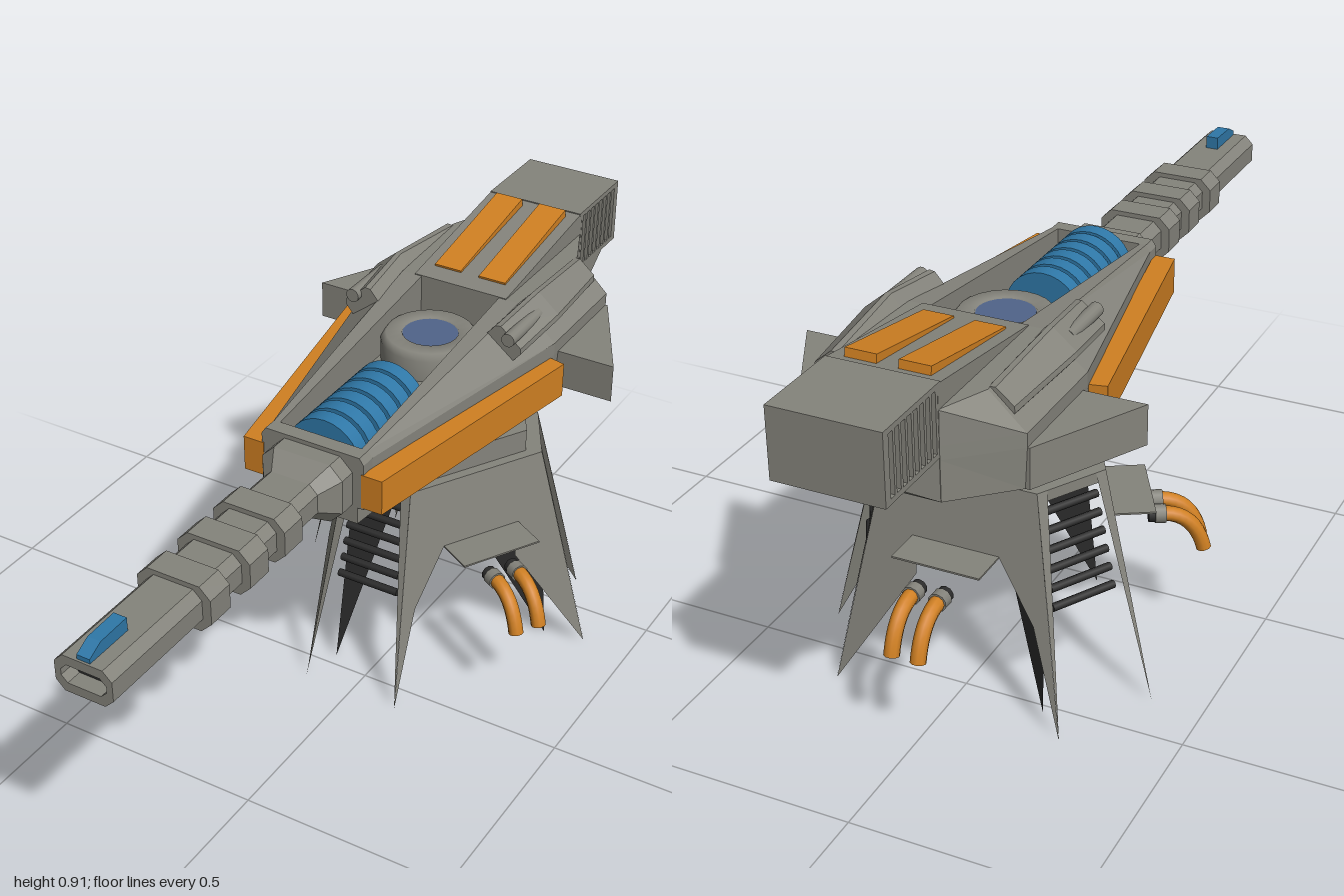
import * as THREE from 'three';

const mat = (name, color, side = THREE.FrontSide) => {
  const m = new THREE.MeshStandardMaterial({ color, side });
  m.name = name;
  return m;
};

export function createModel() {
  const root = new THREE.Group();
  const grey = mat('grey armour', 0x85847c, THREE.DoubleSide);
  const orange = mat('orange paint', 0xd08022);
  const blue = mat('blue coil', 0x2f78a8);
  const glass = mat('glass', 0x50648a);
  const dark = mat('dark metal', 0x2b2b2b, THREE.DoubleSide);

  const add = (name, geo, m, parent = root) => {
    const mesh = new THREE.Mesh(geo, m);
    mesh.name = name;
    parent.add(mesh);
    return mesh;
  };
  const box = (name, w, h, d, x, y, z, m, parent = root) => {
    const b = add(name, new THREE.BoxGeometry(w, h, d), m, parent);
    b.position.set(x, y, z);
    return b;
  };
  const faces = (tris) => {
    const g = new THREE.BufferGeometry();
    g.setAttribute('position', new THREE.Float32BufferAttribute(tris.flat(), 3));
    g.computeVertexNormals();
    return g;
  };
  const v2 = (pts) => pts.map(([a, b]) => new THREE.Vector2(a, b));
  // Flat-sided loft through rings of [x, y] points, from low z to high z
  const loft = (sections) => {
    const t = [];
    const n = sections[0].pts.length;
    const at = (s, k) => [...s.pts[k % n], s.z];
    for (let i = 0; i + 1 < sections.length; i++) {
      const a = sections[i], b = sections[i + 1];
      for (let k = 0; k < n; k++) {
        t.push(at(a, k), at(a, k + 1), at(b, k + 1), at(a, k), at(b, k + 1), at(b, k));
      }
    }
    const first = sections[0], last = sections[sections.length - 1];
    for (const [a, b, c] of THREE.ShapeUtils.triangulateShape(v2(first.pts), []))
      t.push(at(first, a), at(first, c), at(first, b));
    for (const [a, b, c] of THREE.ShapeUtils.triangulateShape(v2(last.pts), []))
      t.push(at(last, a), at(last, b), at(last, c));
    return faces(t);
  };
  const sym = (z, half) => ({ z, pts: [...half, ...half.map(([x, y]) => [-x, y]).reverse()] });
  // Vertical prism from an [x, z] outline
  const prism = (pts, y0, y1) => {
    const shape = new THREE.Shape(v2(pts.map(([x, z]) => [x, -z])));
    const g = new THREE.ExtrudeGeometry(shape, { depth: y1 - y0, bevelEnabled: false });
    return g.rotateX(-Math.PI / 2).translate(0, y0, 0);
  };

  // ---- Tripod base: three ladders alternating with three wide panels ----
  const base = new THREE.Group();
  base.name = 'base';
  base.position.z = -0.305;
  root.add(base);
  const turn = (t, r, a) => [t * Math.cos(a) + r * Math.sin(a), -t * Math.sin(a) + r * Math.cos(a)];
  const third = Math.PI * 2 / 3;
  const hex = (hw, r) => [0, 1, 2].flatMap((k) => [turn(-hw, r, k * third), turn(hw, r, k * third)]);
  add('collar', prism(hex(0.08, 0.213), 0.525, 0.58), grey, base);
  add('skirtTop', prism(hex(0.085, 0.25), 0.5, 0.525), grey, base);

  const panelPoint = (s, y) => {
    const f = 1 - y / 0.525, hw = 0.085 + 0.035 * f, r = 0.25 + 0.125 * f;
    const a = turn(hw, r, 0), b = turn(-hw, r, third);
    return [a[0] + (b[0] - a[0]) * s, y, a[1] + (b[1] - a[1]) * s];
  };
  // One leg of each panel is slender and the other broad; the rear panel is mirrored
  const outline = [[0, 0.525], [0, 0.005], [0.08, 0.24], [0.25, 0.37], [0.73, 0.37], [0.7, 0.29], [1, 0.005], [1, 0.525]];
  const panelTris = (flip) => THREE.ShapeUtils.triangulateShape(v2(outline), [])
    .flatMap((tri) => (flip ? tri.reverse() : tri)
      .map((i) => panelPoint(flip ? 1 - outline[i][0] : outline[i][0], outline[i][1])));

  for (let k = 0; k < 3; k++) {
    const leg = new THREE.Group();
    leg.name = 'legSection';
    leg.rotation.y = k * third;
    base.add(leg);
    add('widePanel', faces(panelTris(k === 1)), grey, leg);
    for (const s of [-1, 1])
      add('ladderRail', faces([[s * 0.085, 0.525, 0.25], [s * 0.06, 0.525, 0.25], [s * 0.12, 0.005, 0.375]]), grey, leg);
    add('innerFin', faces([[-0.062, 0.5, 0.25], [-0.05, 0.42, 0.03], [-0.095, 0.01, 0.28]]), dark, leg);
    for (let i = 0; i < 6; i++) {
      const y = 0.472 - i * 0.04;
      const rung = add('ladderRung', new THREE.CylinderGeometry(0.009, 0.009, 0.135 + i * 0.004, 8), dark, leg);
      rung.rotation.z = Math.PI / 2;
      rung.position.set(0, y, 0.23 + 0.24 * (0.525 - y));
    }
    // Awning and pair of hoses in front of each wide panel
    const side = new THREE.Group();
    side.name = 'hoseSet';
    side.rotation.y = third / 2;
    leg.add(side);
    box('awning', 0.2, 0.004, 0.1, 0, 0.37, 0.265, grey, side);
    const out = k === 1 ? 0.012 : -0.008;
    for (const t of [-0.03, 0.03]) {
      const curve = new THREE.QuadraticBezierCurve3(
        new THREE.Vector3(t, 0.325, 0.335 + out), new THREE.Vector3(t, 0.33, 0.415 + out), new THREE.Vector3(t, 0.235, 0.438 + out));
      add('hose', new THREE.TubeGeometry(curve, 10, 0.017, 10), orange, side);
      const end = add('hoseTip', new THREE.CircleGeometry(0.017, 10), orange, side);
      end.position.set(t, 0.235, 0.438 + out);
      end.rotation.x = 1.35;
      for (const [name, r, len, z, m] of [['hoseFitting', 0.021, 0.024, 0.341, grey], ['hoseSocket', 0.018, 0.014, 0.322, dark]]) {
        const fit = add(name, new THREE.CylinderGeometry(r, r, len, 10), m, side);
        fit.rotation.x = Math.PI / 2;
        fit.position.set(t, 0.325, z + out);
      }
    }
  }

  // ---- Neck ----
  const neck = [[0.135, 0.58], [0.11, 0.657]];
  add('neck', loft([sym(-0.44, neck), sym(-0.12, neck)]), grey);
  const pivot = add('neckPivot', new THREE.CylinderGeometry(0.027, 0.027, 0.264, 16), grey);
  pivot.rotation.z = Math.PI / 2;
  pivot.position.set(0, 0.612, -0.285);
  add('keel', prism([[-0.11, 0.215], [0.11, 0.215], [0.142, -0.12], [-0.142, -0.12]], 0.615, 0.657), grey);

  // ---- Hull ----
  const nose = [[0.125, 0.655], [0.125, 0.745], [0.125, 0.765], [0.115, 0.78]];
  const mid = [[0.24, 0.655], [0.245, 0.745], [0.245, 0.775], [0.15, 0.85]];
  const trench = (h) => [...h, [0.1, h[3][1]], [0.1, 0.735]];
  add('hullNose', loft([sym(0.18, nose), sym(0.215, nose)]), grey);
  add('hullTray', loft([sym(-0.42, trench(mid)), sym(0.18, trench(nose))]), grey);
  add('hullRear', loft([
    sym(-0.8, [[0.12, 0.655], [0.12, 0.745], [0.12, 0.775], [0.118, 0.85]]),
    sym(-0.69, [[0.24, 0.655], [0.245, 0.745], [0.245, 0.775], [0.165, 0.85]]),
    sym(-0.42, mid)]), grey);
  add('rearWedge', loft([sym(-0.93, [[0.119, 0.748], [0.119, 0.755]]), sym(-0.8, [[0.119, 0.655], [0.119, 0.755]])]), grey);
  add('spine', loft([sym(-0.8, [[0.12, 0.7], [0.12, 0.904]]), sym(-0.42, [[0.118, 0.7], [0.118, 0.852]])]), grey);

  // ---- Rear block with deep slatted vents over orange panels ----
  box('rearCore', 0.186, 0.15, 0.2, 0, 0.8275, -0.895, grey);
  box('rearTop', 0.24, 0.012, 0.21, 0, 0.899, -0.895, grey);
  box('rearBottom', 0.24, 0.012, 0.21, 0, 0.756, -0.895, grey);
  box('rearWall', 0.24, 0.155, 0.014, 0, 0.8275, -0.993, grey);

  for (const s of [-1, 1]) {
    const sideShape = (pts) => pts.map(([x, z]) => [s * x, z]);
    add('wing', prism(sideShape([[0.2, -0.44], [0.383, -0.44], [0.25, -0.69], [0.2, -0.69]]), 0.655, 0.745), grey);
    add('sideBar', prism(sideShape([[0.12, 0.217], [0.17, 0.217], [0.28, -0.4], [0.235, -0.41]]), 0.66, 0.742), orange);
    const strip = box('topStrip', 0.068, 0.04, 0.306, s * 0.057, 0.871, -0.62, orange);
    strip.rotation.x = 0.18;

    box('ventPanel', 0.004, 0.132, 0.18, s * 0.094, 0.828, -0.897, orange);
    for (let i = 0; i < 9; i++)
      box('ventSlat', 0.028, 0.135, 0.008, s * 0.106, 0.828, -0.805 - i * 0.0225, grey);

    // Tilted shoulder pods with a short tube
    const pod = new THREE.Group();
    pod.name = 'shoulderPod';
    pod.position.set(s * 0.192, 0.832, 0);
    pod.rotation.z = -s * 0.7;
    root.add(pod);
    add('podBody', loft([
      sym(-0.68, [[0.035, -0.04], [0.035, -0.005], [0.025, 0.005]]),
      sym(-0.45, [[0.042, -0.04], [0.042, 0.02], [0.033, 0.028]]),
      sym(-0.29, [[0.042, -0.04], [0.042, 0.0], [0.033, 0.01]])]), grey, pod);
    const tube = add('podTube', new THREE.CylinderGeometry(0.016, 0.016, 0.14, 14), grey, pod);
    tube.rotation.x = Math.PI / 2;
    tube.position.set(0, 0.01, -0.345);
  }

  // Sensor ring and glass in the trench
  const ring = add('sensorRing', new THREE.LatheGeometry(
    v2([[0.112, 0.735], [0.112, 0.785], [0.1, 0.8], [0.064, 0.8], [0.06, 0.785]]), 24), grey);
  ring.position.z = -0.285;
  const lens = add('sensorGlass', new THREE.CylinderGeometry(0.063, 0.063, 0.03, 24), glass);
  lens.position.set(0, 0.782, -0.285);

  // Row of coil discs
  for (let i = 0; i < 6; i++) {
    const disc = add('coilDisc', new THREE.CylinderGeometry(0.088, 0.088, 0.037, 28), blue);
    disc.rotation.x = Math.PI / 2;
    disc.position.set(0, 0.722, 0.149 - i * 0.048);
  }
  const core = add('coilCore', new THREE.CylinderGeometry(0.076, 0.076, 0.24, 20), dark);
  core.rotation.x = Math.PI / 2;
  core.position.set(0, 0.722, 0.03);

  // ---- Barrel, with chamfered rectangular sections ----
  const oct = (w, h, c) => [[w - c, -h], [w, c - h], [w, h - c], [w - c, h]]
    .map(([x, y]) => [x, y + 0.7]);
  add('barrelRoot', loft([
    sym(0.2, oct(0.098, 0.07, 0.03)), sym(0.255, oct(0.098, 0.07, 0.03)), sym(0.3, oct(0.066, 0.042, 0.02))]), grey);
  add('barrel', loft([sym(0.28, oct(0.066, 0.042, 0.02)), sym(0.9, oct(0.066, 0.042, 0.02))]), grey);
  for (const z of [0.39, 0.515, 0.65])
    add('barrelBand', loft([sym(z, oct(0.086, 0.053, 0.025)), sym(z + 0.065, oct(0.086, 0.053, 0.025))]), grey);
  const muzzle = new THREE.Shape(v2(sym(0, oct(0.066, 0.042, 0.02)).pts));
  muzzle.holes.push(new THREE.Path(v2(sym(0, oct(0.052, 0.021, 0.014)).pts)));
  add('muzzle', new THREE.ExtrudeGeometry(muzzle, { depth: 0.1, bevelEnabled: false }).translate(0, 0, 0.9), grey);
  add('bore', loft([sym(0.9, oct(0.052, 0.021, 0.014)), sym(0.965, oct(0.052, 0.021, 0.014))]), dark);
  add('sight', loft([
    sym(0.88, [[0.015, 0.735], [0.015, 0.772]]), sym(0.96, [[0.015, 0.735], [0.015, 0.77]]),
    sym(0.995, [[0.015, 0.735], [0.015, 0.752]])]), blue);

  return root;
}
